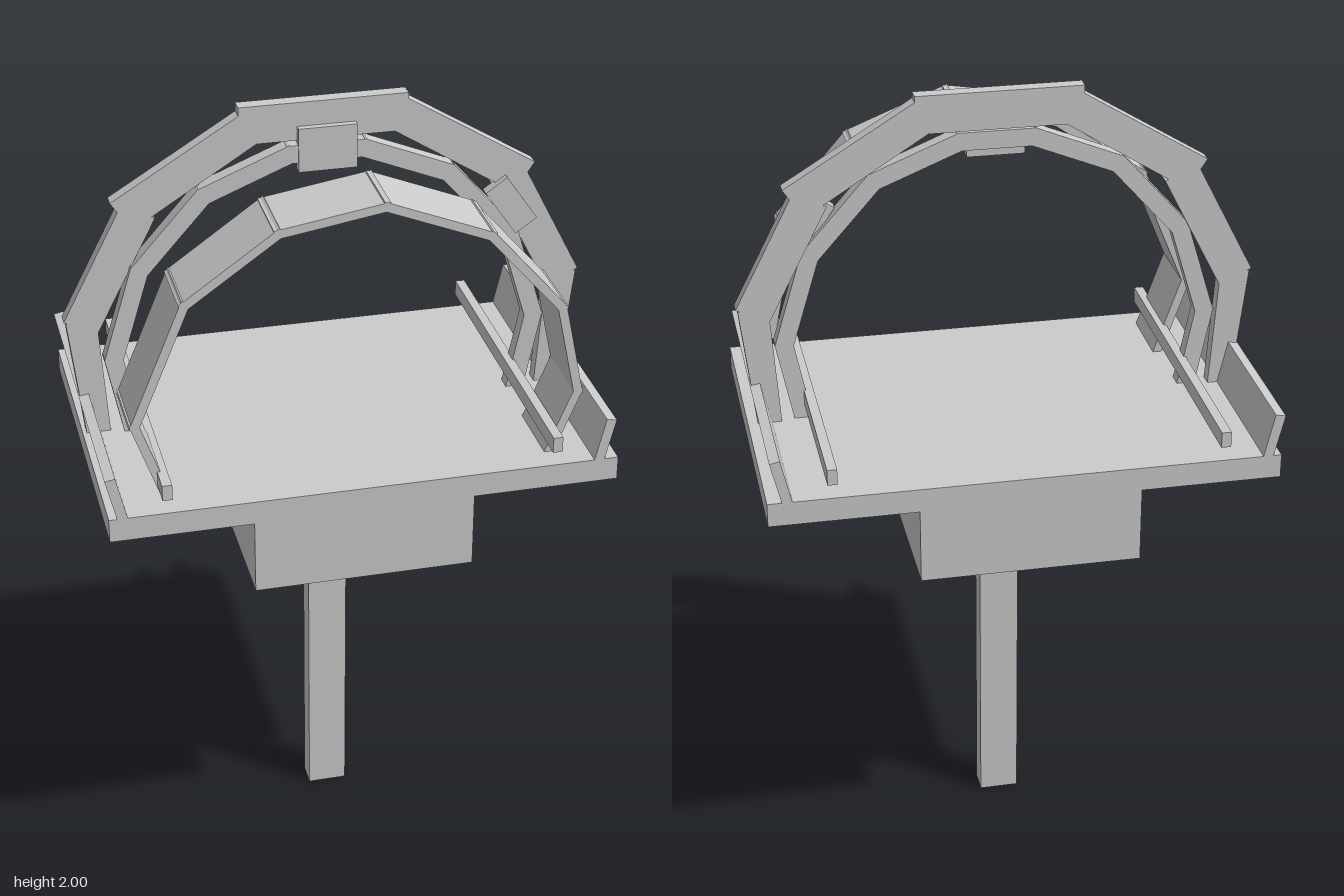
import * as THREE from 'three';

const mat = new THREE.MeshStandardMaterial({ color: 0xcccccc, flatShading: true });

export function createModel() {
  const model = new THREE.Group();

  const add = (name, geo, parent = model) => {
    const mesh = new THREE.Mesh(geo, mat);
    mesh.name = name;
    parent.add(mesh);
    return mesh;
  };

  // Box given by its extents on each axis
  const block = (name, x0, x1, y0, y1, z0, z1) =>
    add(name, new THREE.BoxGeometry(x1 - x0, y1 - y0, z1 - z0))
      .position.set((x0 + x1) / 2, (y0 + y1) / 2, (z0 + z1) / 2);

  // Outline in the xy plane, extruded from z0 to z1
  const slab = (name, pts, z0, z1, parent) => {
    const shape = new THREE.Shape(pts.map(([x, y]) => new THREE.Vector2(x, y)));
    const geo = new THREE.ExtrudeGeometry(shape, { depth: z1 - z0, bevelEnabled: false });
    return add(name, geo.translate(0, 0, z0), parent);
  };

  // Straight plank along a line in the xy plane, with overlapping ends
  const plank = (name, [ax, ay], [bx, by], width, z0, z1, parent, overlap = 0) => {
    const length = Math.hypot(bx - ax, by - ay);
    const geo = new THREE.BoxGeometry(length + overlap, width, z1 - z0);
    const mesh = add(name, geo, parent);
    mesh.position.set((ax + bx) / 2, (ay + by) / 2, (z0 + z1) / 2);
    mesh.rotation.z = Math.atan2(by - ay, bx - ax);
  };

  const arch = (name, pts, width, z0, z1, overlap) => {
    const group = new THREE.Group();
    group.name = name;
    model.add(group);
    for (let i = 1; i < pts.length; i++)
      plank(name + 'Plank', pts[i - 1], pts[i], width, z0, z1, group, overlap);
  };

  const mirrored = (pts) => [...pts.map(([x, y]) => [-x, y]), ...pts.slice().reverse()];

  // Post, cap and deck
  block('post', -0.05, 0.05, 0, 0.8, -0.03, 0.03);
  block('postCap', -0.09, 0.09, 0.82, 0.93, -0.065, 0.07);
  block('underBox', -0.27, 0.27, 0.93, 1.12, -0.43, 0.425);
  block('deck', -0.615, 0.63, 1.12, 1.18, -0.43, 0.425);

  // Diagonal braces and side rails
  for (const s of [-1, 1]) {
    const side = (pts) => pts.map(([x, y]) => [s * x, y]);
    slab('brace', side([[0, 0.75], [0.05, 0.75], [0.5, 1.1], [0.4, 1.12], [0, 0.82]]), -0.03, 0.03);
    slab('outerRail', side([[0.595, 1.18], [0.62, 1.285], [0.595, 1.29], [0.57, 1.18]]), -0.43, 0.425);
    block('innerRail', s * 0.475 - 0.012, s * 0.475 + 0.012, 1.215, 1.255, -0.43, 0.425);
  }

  // Wide outer arch planks, each slightly off from its neighbour
  const outer = new THREE.Group();
  outer.name = 'outerArch';
  model.add(outer);
  slab('topPlank', [[-0.21, 2], [0.2, 2], [0.2, 1.905], [-0.21, 1.905]], -0.02, 0.015, outer);
  for (const s of [-1, 1]) {
    const side = (pts) => pts.map(([x, y]) => [s * x, y]);
    slab('upperPlank', side([[0.2, 1.985], [0.52, 1.79], [0.47, 1.715], [0.16, 1.91]]), -0.02, 0.015, outer);
    slab('middlePlank', side([[0.495, 1.78], [0.645, 1.49], [0.565, 1.45], [0.415, 1.74]]), -0.02, 0.015, outer);
    slab('lowerPlank', side([[0.64, 1.485], [0.605, 1.18], [0.545, 1.18], [0.565, 1.48]]), -0.02, 0.015, outer);
  }

  // Narrow inner arch with joining blocks
  arch('innerArch', mirrored([[0.49, 1.18], [0.53, 1.38], [0.46, 1.61], [0.3, 1.79], [0.09, 1.875]]),
    0.045, -0.01, 0.028, 0.015);
  block('topJoint', -0.07, 0.072, 1.83, 1.94, 0.005, 0.032);
  plank('sideJoint', [0.42, 1.745], [0.5, 1.63], 0.065, 0.005, 0.032);

  // Broad, thin hoop over the front of the deck
  arch('frontHoop', [[-0.465, 1.18], [-0.535, 1.38], [-0.41, 1.68], [-0.19, 1.835], [0.06, 1.875],
    [0.31, 1.775], [0.49, 1.57], [0.54, 1.34], [0.475, 1.18]], 0.022, 0.18, 0.36, 0.02);

  return model;
}
